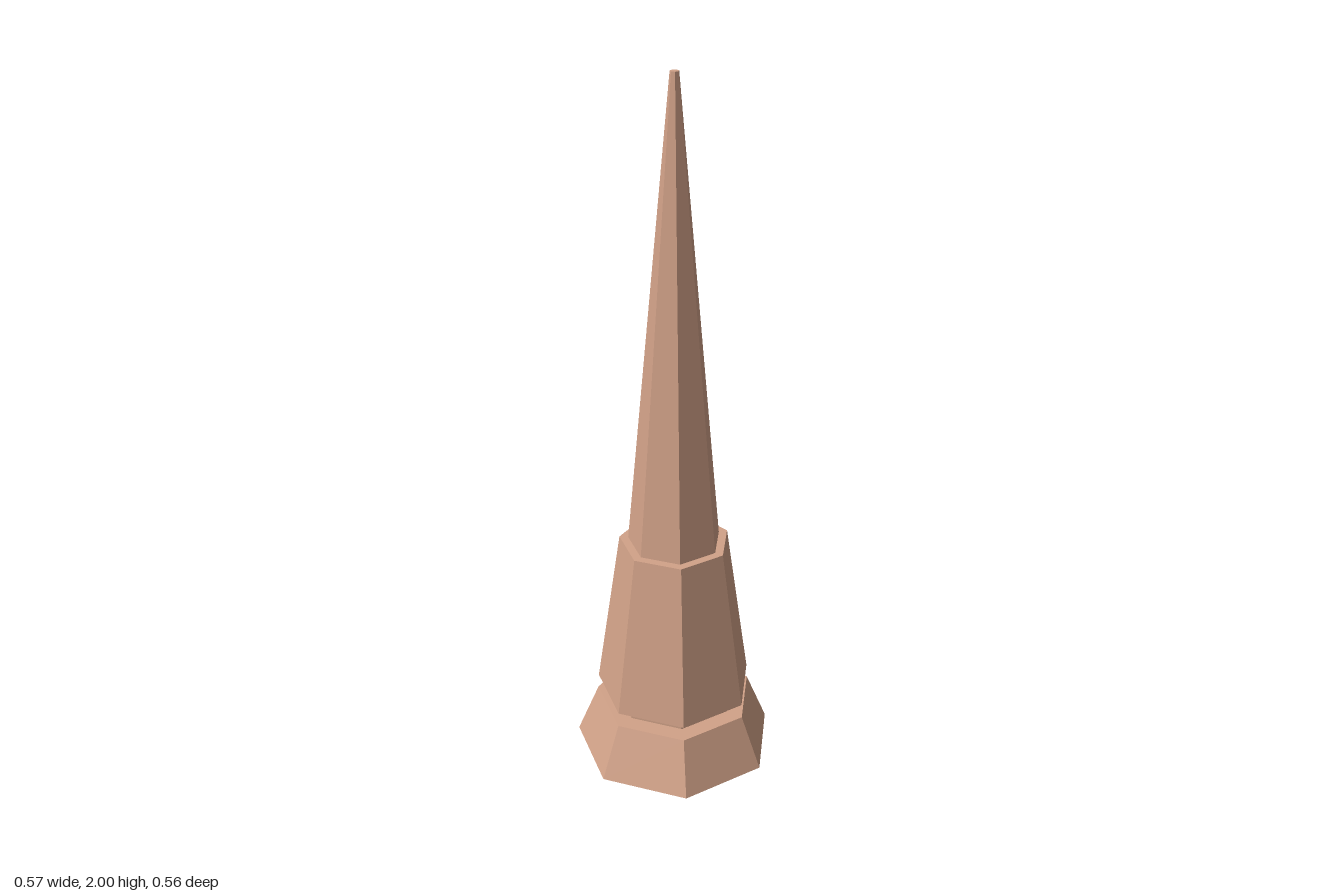
import * as THREE from 'three';

const SIDES = 7;

export function createModel() {
  const group = new THREE.Group();
  group.name = 'spireTower';
  const clay = new THREE.MeshStandardMaterial({ color: 0xd2a288, flatShading: true });
  clay.name = 'clay';

  // Seven-sided tiers: name, bottom radius, top radius, bottom y, top y
  const tiers = [
    ['base', 0.292, 0.229, 0, 0.157],
    ['neck', 0.177, 0.177, 0.157, 0.2],
    ['collar', 0.227, 0.157, 0.2, 0.683],
    ['spire', 0.132, 0.012, 0.683, 2],
  ];
  for (const [name, bottom, top, y0, y1] of tiers) {
    // Start at PI so one corner points to the back
    const geometry = new THREE.CylinderGeometry(top, bottom, y1 - y0, SIDES, 1, false, Math.PI);
    const mesh = new THREE.Mesh(geometry, clay);
    mesh.name = name;
    // Shift forward slightly so the odd-sided footprint is centred
    mesh.position.set(0, (y0 + y1) / 2, 0.0135);
    group.add(mesh);
  }
  return group;
}
